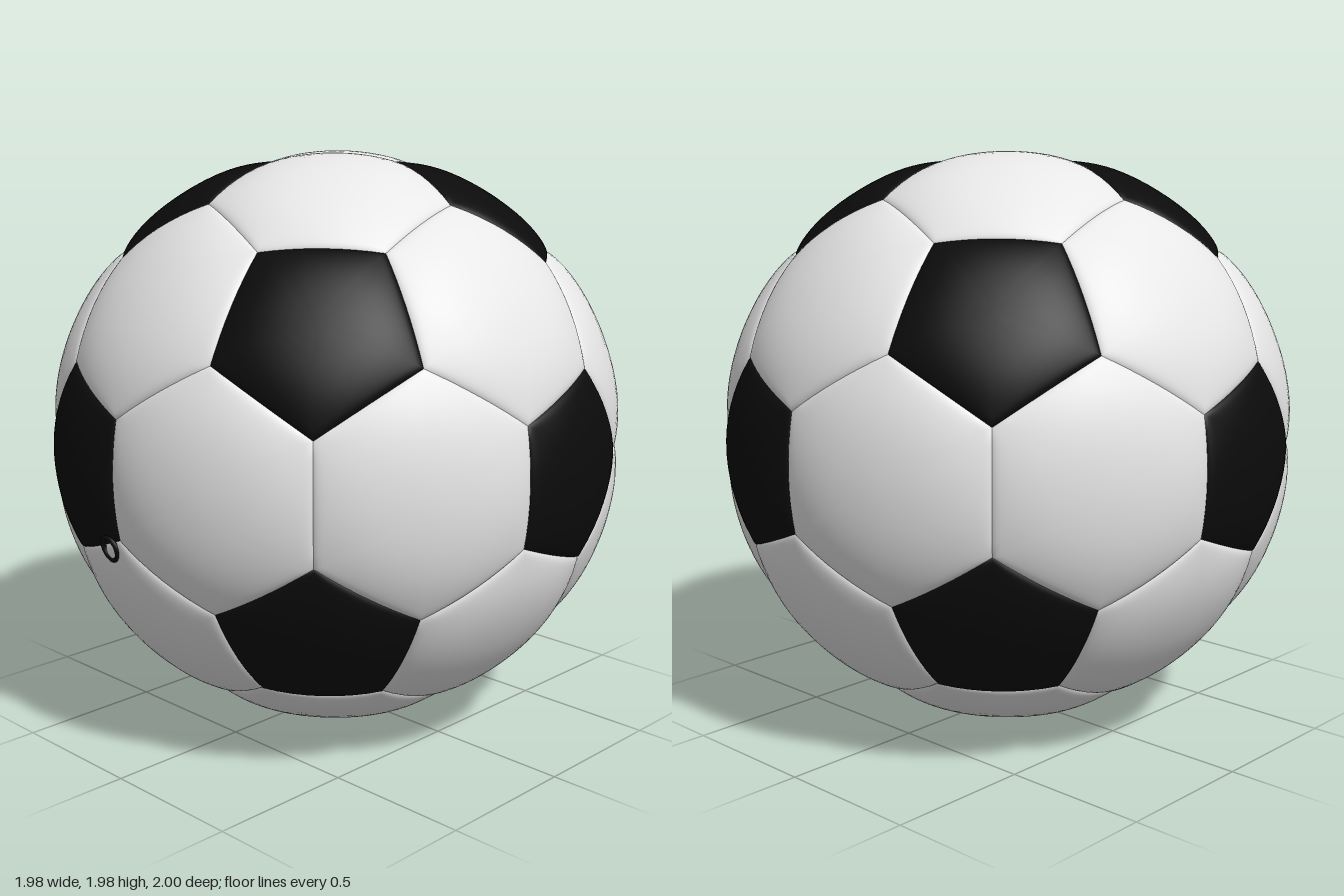
import * as THREE from 'three';

const white = new THREE.MeshStandardMaterial({ color: 0xe7e7e7 });
white.name = 'white leather';
const black = new THREE.MeshStandardMaterial({ color: 0x0b0b0b });
black.name = 'black leather';

const RINGS = 14, STEPS = 8;   // rings per panel, divisions per panel edge

// One padded panel: rings of a polygon pushed out to a sphere, sinking to a seam at its rim
function panelGeometry(corners) {
  const n = corners.length;
  const center = corners.reduce((s, c) => s.add(c), new THREE.Vector3()).divideScalar(n);
  const axis = center.clone().normalize();
  const u = corners[0].clone().sub(center).normalize();
  const v = axis.clone().cross(u);
  const angle = (c) => { const d = c.clone().sub(center); return Math.atan2(d.dot(v), d.dot(u)); };
  const ring = [...corners].sort((a, b) => angle(a) - angle(b));
  const toEdges = ring.map((c, k) => c.clone().add(ring[(k + 1) % n]).multiplyScalar(0.5).sub(center));

  const positions = [], index = [];
  const add = (p) => {
    const d = p.clone().sub(center);
    let puff = 1, nearest = 1;
    for (const e of toEdges) {
      const s = Math.min(1, Math.max(0, d.dot(e) / e.lengthSq()));
      puff *= 1 - s ** 4;
      nearest = Math.min(nearest, 1 - s);
    }
    const radius = 1 - 0.02 * (1 - puff) - 0.007 * Math.exp(-nearest / 0.025);
    positions.push(...p.clone().normalize().multiplyScalar(radius).toArray());
  };

  add(center);
  const count = n * STEPS;
  for (let i = 1; i <= RINGS; i++) {
    const s = 1 - (1 - i / RINGS) ** 2;   // rings crowd towards the seam
    for (let j = 0; j < count; j++) {
      const k = Math.floor(j / STEPS);
      const p = ring[k].clone().lerp(ring[(k + 1) % n], (j % STEPS) / STEPS);
      add(center.clone().lerp(p, s));
    }
  }
  for (let j = 0; j < count; j++) {
    const next = (j + 1) % count;
    index.push(0, 1 + j, 1 + next);
    for (let i = 1; i < RINGS; i++) {
      const a = 1 + (i - 1) * count, b = a + count;
      index.push(a + j, b + j, b + next, a + j, b + next, a + next);
    }
  }
  const geometry = new THREE.BufferGeometry();
  geometry.setAttribute('position', new THREE.Float32BufferAttribute(positions, 3));
  geometry.setIndex(index);
  geometry.computeVertexNormals();
  return geometry;
}

export function createModel() {
  const model = new THREE.Group();
  model.name = 'football';

  // Icosahedron corners, turned about the vertical
  const t = (1 + Math.sqrt(5)) / 2, turn = THREE.MathUtils.degToRad(-49.5);
  const up = new THREE.Vector3(0, 1, 0);
  const points = [];
  for (const a of [-1, 1]) for (const b of [-t, t]) {
    for (const p of [[a, b, 0], [0, a, b], [b, 0, a]]) {
      points.push(new THREE.Vector3(...p).normalize().applyAxisAngle(up, turn));
    }
  }
  const touching = (a, b) => a !== b && a.dot(b) > 0.3;
  const third = (a, b) => a.clone().lerp(b, 1 / 3);

  const addPanel = (name, corners, material) => {
    const mesh = new THREE.Mesh(panelGeometry(corners), material);
    mesh.name = name;
    mesh.position.y = 1;
    model.add(mesh);
  };

  // Black pentagons around each icosahedron corner
  for (const a of points) {
    addPanel('pentagonPanel', points.filter((b) => touching(a, b)).map((b) => third(a, b)), black);
  }

  // White hexagons on each icosahedron face
  points.forEach((a, i) => points.forEach((b, j) => points.forEach((c, k) => {
    if (i < j && j < k && touching(a, b) && touching(b, c) && touching(a, c)) {
      addPanel('hexagonPanel',
        [third(a, b), third(b, a), third(b, c), third(c, b), third(c, a), third(a, c)], white);
    }
  })));

  // Small dark loop by a pentagon corner
  const out = new THREE.Vector3(-0.97, -0.24, -0.08).normalize();
  const loop = new THREE.Mesh(new THREE.TorusGeometry(0.04, 0.009, 8, 24), black);
  loop.name = 'valveLoop';
  loop.quaternion.setFromUnitVectors(new THREE.Vector3(0, 0, 1), out);
  loop.position.copy(out).multiplyScalar(0.982).add(up);
  model.add(loop);

  return model;
}
